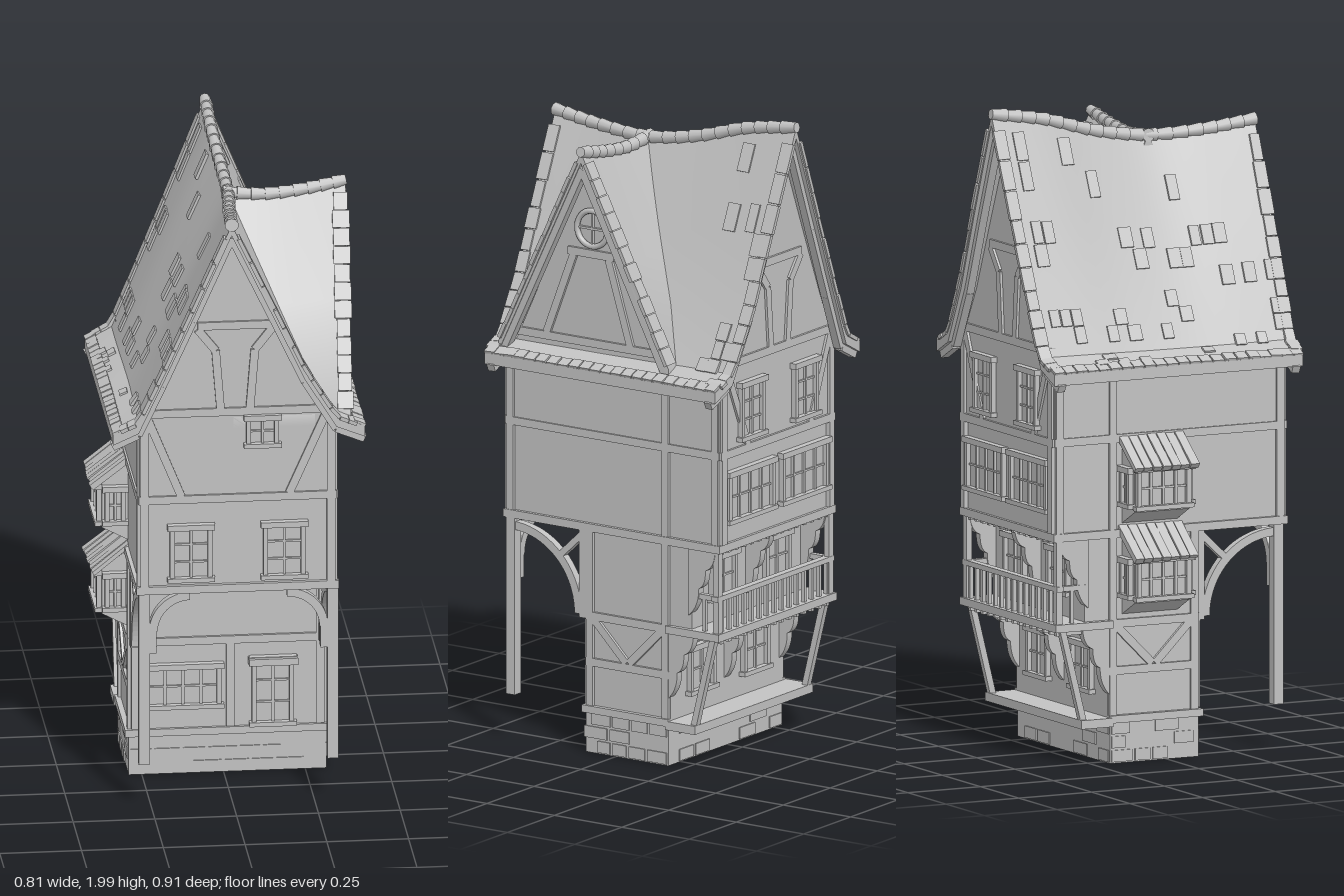
import * as THREE from 'three';
import { toCreasedNormals } from 'three/addons/utils/BufferGeometryUtils.js';

const V = (x, y, z) => new THREE.Vector3(x, y, z);
const lerp = THREE.MathUtils.lerp;

export function createModel() {
  const model = new THREE.Group();
  const plaster = new THREE.MeshStandardMaterial({ color: 0xc2c2c2 });
  plaster.name = 'pale grey';
  let seed = 7;
  const rnd = () => (seed = (seed * 16807) % 2147483647) / 2147483647;

  // ---- helpers ----
  const add = (name, geo, parent = model) => {
    const m = new THREE.Mesh(geo, plaster);
    m.name = name;
    parent.add(m);
    return m;
  };
  // box given by its two extreme corners
  const block = (name, x0, x1, y0, y1, z0, z1, parent) => {
    const m = add(name, new THREE.BoxGeometry(x1 - x0, y1 - y0, z1 - z0), parent);
    m.position.set((x0 + x1) / 2, (y0 + y1) / 2, (z0 + z1) / 2);
    return m;
  };
  const orient = (m, a, b, normal) => {
    const y = b.clone().sub(a).normalize();
    const x = y.clone().cross(normal).normalize();
    m.quaternion.setFromRotationMatrix(new THREE.Matrix4().makeBasis(x, y, x.clone().cross(y)));
    m.position.copy(a).add(b).multiplyScalar(0.5);
    return m;
  };
  // box running from a to b, its depth along the normal
  const beam = (name, a, b, width, depth, normal) =>
    orient(add(name, new THREE.BoxGeometry(width, a.distanceTo(b), depth)), a, b, normal);
  const extrude = (name, shape, depth) =>
    add(name, new THREE.ExtrudeGeometry(shape, { depth, bevelEnabled: false, curveSegments: 10 }));
  const polygon = pts => new THREE.Shape(pts.map(p => new THREE.Vector2(p[0], p[1])));
  // turn an extrusion so that its x runs along z
  const sideways = (m, x, y, z) => { m.rotation.y = -Math.PI / 2; m.position.set(x, y, z); return m; };

  // thick roof skin over rows of points
  function skin(name, rows, drop) {
    const n = rows[0].length, pos = [], idx = [];
    for (const r of rows) {
      const loop = [...r, ...r.map(p => V(p.x, p.y - drop, p.z)).reverse()];
      loop.forEach(p => pos.push(p.x, p.y, p.z));
    }
    const N = 2 * n, quad = (a, b, c, d) => idx.push(a, b, c, a, c, d);
    for (let i = 0; i < rows.length - 1; i++)
      for (let j = 0; j < N; j++) quad(i * N + j, i * N + (j + 1) % N, (i + 1) * N + (j + 1) % N, (i + 1) * N + j);
    const e = (rows.length - 1) * N;
    for (let j = 0; j < n - 1; j++) {
      quad(j + 1, j, N - 1 - j, N - 2 - j);
      quad(e + j, e + j + 1, e + N - 2 - j, e + N - 1 - j);
    }
    const P = i => V(pos[3 * i], pos[3 * i + 1], pos[3 * i + 2]);
    let volume = 0;
    for (let i = 0; i < idx.length; i += 3) volume += P(idx[i]).dot(P(idx[i + 1]).cross(P(idx[i + 2])));
    if (volume < 0) idx.reverse();
    const g = new THREE.BufferGeometry();
    g.setAttribute('position', new THREE.Float32BufferAttribute(pos, 3));
    g.setIndex(idx);
    add(name, toCreasedNormals(g, 0.6));
  }
  // overlapping round tiles along a ridge curve
  function ridgeTiles(name, curve, count) {
    for (let i = 0; i < count; i++) {
      const a = curve.getPoint(i / count), b = curve.getPoint((i + 1) / count);
      orient(add(name, new THREE.CylinderGeometry(0.016, 0.021, a.distanceTo(b) * 1.08, 10)), a, b, V(0, 1, 0));
    }
  }

  // ---- main roof: sagging ridge and flared eaves ----
  const ridge = new THREE.CatmullRomCurve3([V(-0.01, 1.9, 0.45), V(0, 1.88, 0.28), V(0.015, 1.873, 0.09),
    V(0.01, 1.9, -0.09), V(0, 1.95, -0.27), V(0, 1.978, -0.45)]);
  const leftX = [0, 0.12, 0.215, 0.29, 0.37], rightX = [0, 0.125, 0.22, 0.315, 0.4], fall = [1, 0.6, 0.29, 0.055, 0];
  const roofPoint = (u, t, drop = 0) => {
    const r = ridge.getPoint(t), a = Math.min(Math.abs(u), 1) * 4, i = Math.min(Math.floor(a), 3), f = a - i;
    const xs = u < 0 ? leftX : rightX, x = Math.sign(u) * lerp(xs[i], xs[i + 1], f);
    const y = lerp(1.225, r.y, lerp(fall[i], fall[i + 1], f));
    return V(x + r.x * (1 - a / 4), y - drop, r.z * (1 - 0.05 * Math.abs(u)));
  };
  const US = [-1, -0.875, -0.75, -0.5, -0.25, 0, 0.25, 0.5, 0.75, 0.875, 1];
  skin('mainRoof', Array.from({ length: 25 }, (_, i) => US.map(u => roofPoint(u, i / 24))), 0.035);
  ridgeTiles('mainRidgeTile', ridge, 19);

  // ---- cross gable roof on the left side ----
  const crossRidge = new THREE.CatmullRomCurve3([V(0, 1.874, 0.09), V(0.13, 1.864, 0.09), V(0.26, 1.878, 0.09), V(0.375, 1.9, 0.088)]);
  const crossPoint = (v, t, drop = 0) => {
    const r = crossRidge.getPoint(t), a = Math.abs(v);
    return V(r.x * (1 - 0.04 * a), lerp(r.y, 1.26, a) - drop, r.z + v * 0.315);
  };
  skin('crossRoof', Array.from({ length: 13 }, (_, i) => [-1, -0.5, 0, 0.5, 1].map(v => crossPoint(v, i / 12))), 0.035);
  ridgeTiles('crossRidgeTile', crossRidge, 9);

  // raised tiles: scattered over the slopes and ragged along the verges
  for (const s of [-1, 1]) {
    const n = V(s * 0.9, 0.42, 0);
    for (let r = 0; r < 12; r++) {
      const u = 0.04 + r * 0.074;
      for (let c = 0; c < 24; c++) {
        const edge = c === 0 || c === 23, t = edge ? (c ? 0.985 : 0.015) : c / 23;
        const underCross = s > 0 && t > 0.03 && t < 0.8;
        if (!edge && (underCross || rnd() > 0.16)) continue;
        beam('roofTile', roofPoint(s * u, t), roofPoint(s * (u + 0.07), t), 0.032 + rnd() * 0.012, 0.012, n);
      }
    }
    for (let c = 0; c < 22; c++) // tiles along the eaves
      beam('eaveTile', roofPoint(s * 0.9, (c + 0.5) / 22), roofPoint(s, (c + 0.5) / 22), 0.036, 0.008 + rnd() * 0.008, V(s * 0.4, 0.9, 0));
    for (let r = 0; r < 12; r++) // cross gable verge
      beam('crossRoofTile', crossPoint(s * (0.05 + r * 0.078), 0.95), crossPoint(s * (0.125 + r * 0.078), 0.95), 0.04 + rnd() * 0.015, 0.012, V(0, 0.42, s * 0.9));
  }

  // ---- stone base, open underneath ----
  const ring = polygon([[-0.29, -0.11], [0.315, -0.11], [0.315, 0.195], [-0.29, 0.195]]);
  ring.holes.push(polygon([[-0.24, -0.06], [-0.24, 0.145], [0.265, 0.145], [0.265, -0.06]]));
  extrude('stoneBase', ring, 0.13).rotation.x = -Math.PI / 2;
  for (let row = 0; row < 3; row++) {
    const y0 = 0.004 + row * 0.043, y1 = y0 + 0.036;
    for (const z of [0.11, -0.195])
      for (let x = -0.285; x < 0.25;) {
        const w = 0.045 + rnd() * 0.05;
        if (rnd() < 0.6) block('baseStone', x, x + w, y0, y1, z - 0.004, z + 0.004);
        x += w + 0.01;
      }
    for (const x of [-0.29, 0.315])
      for (let z = -0.19; z < 0.05;) {
        const w = 0.045 + rnd() * 0.04;
        if (rnd() < 0.6) block('baseStone', x - 0.004, x + 0.004, y0, y1, z, z + w);
        z += w + 0.01;
      }
  }

  // ---- storeys ----
  block('baseSill', -0.302, 0.325, 0.125, 0.148, -0.2, 0.12);
  block('groundStorey', -0.285, 0.31, 0.13, 0.71, -0.2, 0.11);
  block('balconyStorey', -0.285, 0.31, 0.43, 0.71, -0.28, 0.1);
  block('middleStorey', -0.285, 0.31, 0.7, 1.0, -0.38, 0.4);
  block('upperStorey', -0.288, 0.313, 1.0, 1.235, -0.385, 0.405);
  block('jettyBeam', -0.297, 0.322, 0.695, 0.72, -0.39, 0.413);
  const gableU = [-0.76, -0.5, -0.25, 0, 0.25, 0.5, 0.74];
  for (const [t, z] of [[0.05, 0.355], [0.93, -0.385]]) {
    const pts = gableU.map(u => roofPoint(u, t, 0.028)).map(p => [p.x, p.y]);
    extrude('gableWall', polygon([[-0.288, 1.22], ...pts, [0.313, 1.22]].reverse()), 0.05).position.z = z;
  }
  sideways(extrude('crossGableWall', polygon([[0.385, 1.22], [0.09, 1.855], [-0.205, 1.22]]), 0.07), 0.318, 0, 0);

  // ---- timber framing ----
  const timberZ = (z, list, w = 0.025) => list.forEach(([x0, y0, x1, y1]) =>
    beam('timber', V(x0, y0, z), V(x1, y1, z), w, 0.016, V(0, 0, Math.sign(z))));
  const timberX = (x, list, w = 0.025) => list.forEach(([z0, y0, z1, y1]) =>
    beam('timber', V(x, y0, z0), V(x, y1, z1), w, 0.016, V(Math.sign(x), 0, 0)));
  for (const z of [0.405, -0.385])
    timberZ(z, [[-0.29, 1, 0.315, 1], [-0.28, 1.28, 0.3, 1.28], [-0.11, 1.56, 0.12, 1.56],
      [-0.272, 0.72, -0.272, 1.27], [0.298, 0.72, 0.298, 1.27], [-0.16, 1.01, -0.265, 1.27], [0.17, 1.01, 0.285, 1.27],
      [-0.11, 1.55, -0.055, 1.48], [-0.055, 1.48, -0.04, 1.29], [0.12, 1.55, 0.065, 1.48], [0.065, 1.48, 0.05, 1.29]]);
  timberZ(0.111, [[-0.285, 0.43, 0.31, 0.43], [-0.27, 0.15, -0.27, 0.7], [0.295, 0.15, 0.295, 0.7], [0.02, 0.15, 0.02, 0.42]]);
  for (const x of [-0.286, 0.311]) {
    timberX(x, [[-0.385, 1, 0.405, 1], [-0.185, 0.72, -0.185, 1.22], [0.39, 0.72, 0.39, 1.22], [-0.368, 0.72, -0.368, 1.22],
      [0.095, 0.14, 0.095, 0.7], [-0.185, 0.14, -0.185, 0.7], [-0.2, 0.43, 0.11, 0.43], [-0.2, 0.285, 0.11, 0.285],
      [0.08, 0.42, -0.04, 0.3], [-0.17, 0.42, -0.05, 0.3]]);
  }
  timberX(0.319, [[0.38, 1.29, -0.2, 1.29], [0.17, 1.57, 0.0, 1.57], [0.15, 1.56, 0.25, 1.3], [0.02, 1.56, -0.06, 1.3]]);

  // bargeboards under the verges
  for (const t of [0.03, 0.97])
    for (let i = 0; i < US.length - 1; i++)
      beam('bargeboard', roofPoint(US[i], t, 0.045), roofPoint(US[i + 1], t, 0.045), 0.024, 0.026, V(0, 0, 1));
  for (const s of [-1, 1])
    beam('crossBargeboard', crossPoint(0, 0.95, 0.05), crossPoint(s * 0.98, 0.95, 0.05), 0.028, 0.028, V(1, 0, 0));

  // ---- windows and door ----
  function windowUnit(name, x, y, z, w, h, turn, cols = 2, rows = 2) {
    const g = new THREE.Group();
    g.name = name;
    g.position.set(x, y, z);
    g.rotation.y = turn;
    model.add(g);
    const b = (n, cx, cy, sx, sy, d) => block(n, cx - sx / 2, cx + sx / 2, cy - sy / 2, cy + sy / 2, 0, d, g);
    b('pane', 0, 0, w, h, 0.003);
    for (const s of [-1, 1]) b('jamb', s * w / 2, 0, 0.014, h, 0.016);
    b('lintel', 0, h / 2, w + 0.03, 0.018, 0.022);
    b('sill', 0, -h / 2, w + 0.03, 0.014, 0.022);
    for (let i = 1; i < cols; i++) b('mullion', (i / cols - 0.5) * w, 0, 0.008, h, 0.011);
    for (let i = 1; i < rows; i++) b('glazingBar', 0, (i / rows - 0.5) * h, w, 0.006, 0.009);
  }
  const PI = Math.PI;
  windowUnit('groundWindow', -0.125, 0.285, 0.11, 0.22, 0.13, 0, 4, 2);
  windowUnit('frontDoor', 0.15, 0.26, 0.11, 0.115, 0.21, 0, 2, 3);
  block('doorHood', 0.075, 0.225, 0.35, 0.372, 0.11, 0.145);
  windowUnit('frontWindow', -0.13, 0.825, 0.4, 0.115, 0.17, 0, 2, 3);
  windowUnit('frontWindow', 0.155, 0.825, 0.4, 0.115, 0.17, 0, 2, 3);
  windowUnit('atticWindow', 0.088, 1.215, 0.405, 0.085, 0.09, 0);
  for (const x of [-0.13, 0.155]) {
    windowUnit('rearUpperWindow', x, 1.12, -0.385, 0.11, 0.17, PI, 2, 3);
    windowUnit('rearWideWindow', x, 0.86, -0.38, 0.23, 0.15, PI, 4, 2);
    windowUnit('balconyWindow', x, 0.58, -0.28, 0.12, 0.13, PI, 2, 2);
    windowUnit('rearGroundWindow', x, 0.28, -0.2, 0.12, 0.14, PI, 2, 2);
  }
  // round window in the cross gable
  const round = add('roundWindowFrame', new THREE.TorusGeometry(0.056, 0.009, 8, 28));
  round.rotation.y = PI / 2;
  round.position.set(0.325, 1.65, 0.08);
  const bar = [[0.08, 1.6, 0.08, 1.7], [0.03, 1.65, 0.13, 1.65]];
  timberX(0.32, bar, 0.007);

  // ---- bay windows on the right side ----
  for (const dy of [0, -0.28]) {
    const bay = polygon([[-0.28, 0.735], [-0.28, 0.99], [-0.365, 0.925], [-0.365, 0.78]].map(([x, y]) => [x, y + dy]));
    extrude('bay', bay, 0.19).position.z = -0.15;
    windowUnit('bayWindow', -0.365, 0.853 + dy, -0.055, 0.17, 0.12, -PI / 2, 4, 2);
    windowUnit('baySideWindow', -0.325, 0.853 + dy, 0.04, 0.05, 0.11, 0);
    windowUnit('baySideWindow', -0.325, 0.853 + dy, -0.15, 0.05, 0.11, PI);
    for (let i = 0; i < 7; i++) {
      const z = -0.15 + i * 0.0317, k = rnd() * 0.008;
      beam('bayRoofBoard', V(-0.392 - k, 0.915 + dy, z), V(-0.282, 1.005 + dy, z), 0.029, 0.012 + k, V(-0.63, 0.77, 0));
    }
  }

  // ---- front porch: posts and arched braces ----
  const quarter = (r, w, right) => {
    const s = new THREE.Shape(), a = right ? 0 : PI / 2;
    s.absarc(0, 0, r, a, a + PI / 2, false);
    s.absarc(0, 0, r - w, a + PI / 2, a, true);
    return s;
  };
  for (const [x, right] of [[-0.272, false], [0.305, true]]) {
    const s = right ? -1 : 1;
    block('porchPost', x - 0.017, x + 0.017, 0.14, 0.7, 0.37, 0.402);
    extrude('porchArch', quarter(0.125, 0.026, right), 0.026).position.set(x + s * 0.14, 0.57, 0.373);
    block('archFoot', x + s * 0.026 - 0.012, x + s * 0.026 + 0.012, 0.5, 0.575, 0.373, 0.399);
    sideways(extrude('sideArch', quarter(0.255, 0.026, false), 0.026), x + 0.013, 0.43, 0.38);
    beam('archStrut', V(x, 0.69, 0.115), V(x, 0.605, 0.205), 0.02, 0.026, V(1, 0, 0));
    block('wallPost', x - 0.015, x + 0.015, 0.42, 0.7, 0.105, 0.132);
  }

  // ---- rear balcony, lower ledge and brackets ----
  block('balconyFloor', -0.305, 0.325, 0.418, 0.442, -0.388, -0.19);
  block('rearLedge', -0.305, 0.325, 0.115, 0.142, -0.3, -0.19);
  for (let i = 0; i < 15; i++) {
    const x = -0.275 + i * 0.04;
    block('balconyJoist', x - 0.007, x + 0.007, 0.404, 0.42, -0.375, -0.2);
    block('baluster', x - 0.006, x + 0.006, 0.44, 0.545, -0.376, -0.364);
    block('jettyJoist', x - 0.007, x + 0.007, 0.684, 0.7, -0.375, -0.28);
  }
  block('handrail', -0.3, 0.32, 0.542, 0.558, -0.382, -0.358);
  const bracket = new THREE.Shape();
  bracket.moveTo(0.01, 0);
  bracket.lineTo(-0.09, 0);
  bracket.quadraticCurveTo(-0.085, -0.05, -0.055, -0.06);
  bracket.quadraticCurveTo(-0.055, -0.11, -0.03, -0.12);
  bracket.quadraticCurveTo(-0.03, -0.18, 0.01, -0.21);
  for (const x of [-0.28, 0.0125, 0.305]) {
    sideways(extrude('lowerBracket', bracket, 0.026), x + 0.013, 0.418, -0.2);
    sideways(extrude('upperBracket', bracket, 0.026), x + 0.013, 0.695, -0.28);
  }
  for (const x of [-0.285, 0.305]) {
    block('balconyPost', x - 0.011, x + 0.011, 0.44, 0.7, -0.381, -0.361);
    block('sideRail', x - 0.009, x + 0.009, 0.542, 0.558, -0.37, -0.27);
    block('sideBaluster', x - 0.006, x + 0.006, 0.44, 0.545, -0.33, -0.318);
    beam('slantedProp', V(x, 0.135, -0.287), V(x, 0.42, -0.358), 0.02, 0.02, V(1, 0, 0));
  }
  return model;
}
